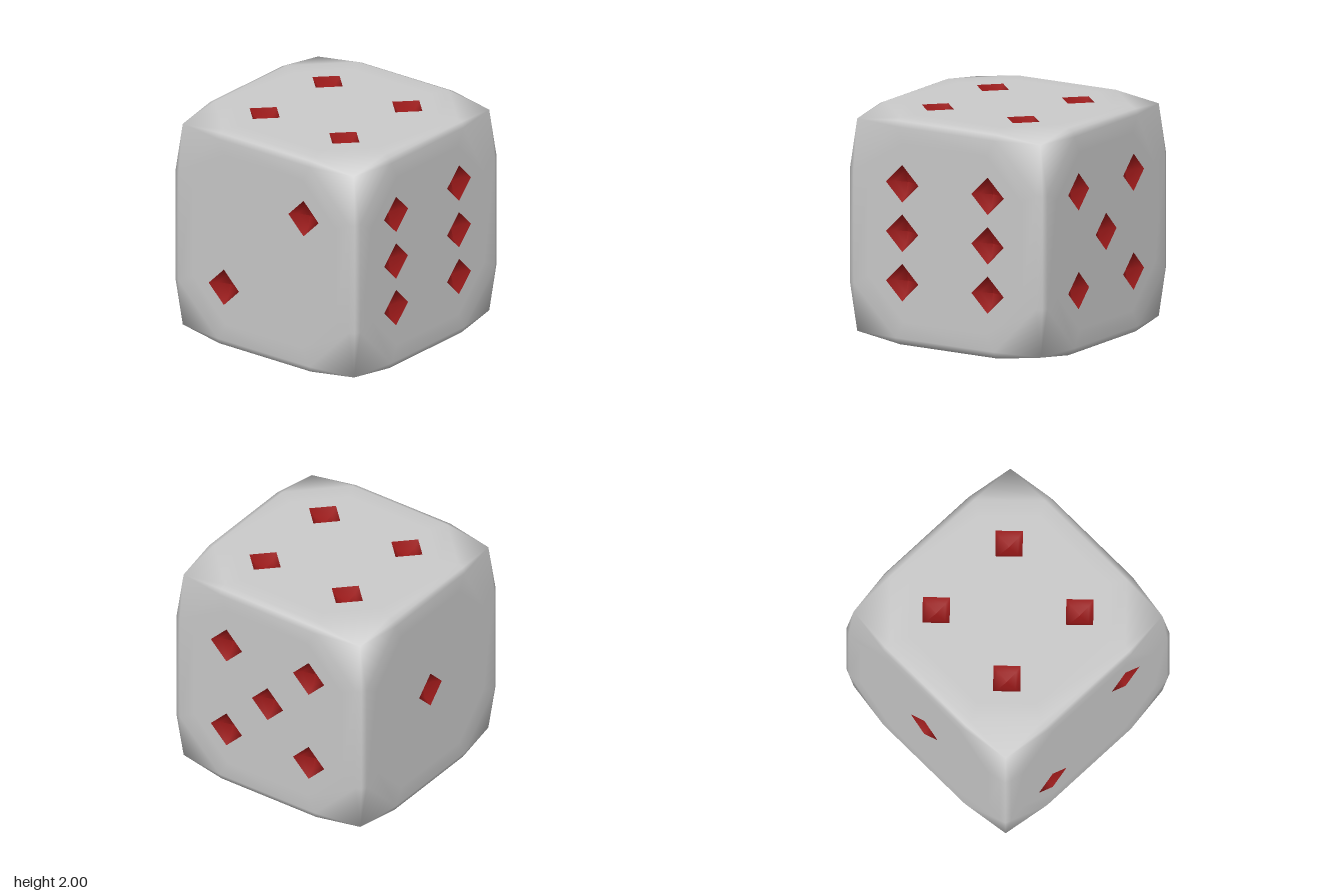
import * as THREE from 'three';
import { mergeGeometries, mergeVertices } from 'three/addons/utils/BufferGeometryUtils.js';

const P = 0.435; // pip offset from the face centre
const R = 0.165; // pip half diagonal

// Eight points of a square with cut corners, counter-clockwise
function octagon(a, b, z) {
  return [[a, -b], [a, b], [b, a], [-b, a], [-a, b], [-a, -b], [-b, -a], [b, -a]]
    .map(([x, y]) => new THREE.Vector3(x, y, z));
}

// Rounded border of one face: flat band, bevelled edges and sunken corners
function borderGeometry() {
  const inner = octagon(0.78, 0.42, 1);
  const outer = octagon(0.93, 0.5, 1);
  const rim = octagon(0.98, 0.5, 0.98);
  const corners = [[1, 1], [-1, 1], [-1, -1], [1, -1]]
    .map(([x, y]) => new THREE.Vector3(x, y, 1).multiplyScalar(0.935));
  const points = [];
  for (let i = 0; i < 8; i++) {
    const j = (i + 1) % 8;
    points.push(inner[i], outer[i], outer[j], inner[i], outer[j], inner[j]);
    if (i % 2 === 0) {
      points.push(outer[i], rim[i], rim[j], outer[i], rim[j], outer[j]);
    } else {
      const c = corners[(i - 1) / 2];
      points.push(outer[i], rim[i], c, outer[i], c, outer[j], c, rim[j], outer[j]);
    }
  }
  return new THREE.BufferGeometry().setFromPoints(points);
}

// Flat middle of a face with a diamond hole for each pip
function panelGeometry(pips) {
  const shape = new THREE.Shape(octagon(0.78, 0.42, 0).map((p) => new THREE.Vector2(p.x, p.y)));
  for (const [x, y] of pips) {
    shape.holes.push(new THREE.Path([[R, 0], [0, -R], [-R, 0], [0, R]]
      .map(([u, v]) => new THREE.Vector2(x + u, y + v))));
  }
  return new THREE.ShapeGeometry(shape).translate(0, 0, 1);
}

export function createModel() {
  const model = new THREE.Group();
  model.name = 'die';
  const grey = new THREE.MeshStandardMaterial({ color: 0xcccccc });
  const red = new THREE.MeshStandardMaterial({ color: 0x991919, side: THREE.DoubleSide });

  // Four-sided bowl sunk into the face
  const pipGeometry = new THREE.LatheGeometry(
    [[R, 0], [0.11, -0.06], [0, -0.09]].map(([x, y]) => new THREE.Vector2(x, y)), 4)
    .rotateX(Math.PI / 2);

  // Pip patterns
  const one = [[0, 0]];
  const two = [[-P, -P], [P, P]];
  const four = [...two, [-P, P], [P, -P]];
  const six = [...four, [-P, 0], [P, 0]];
  const q = Math.PI / 2;
  const faces = [
    ['front', 0, 0, two],
    ['right', 0, q, six],
    ['back', 0, 2 * q, [...four, ...one]],
    ['left', 0, -q, one],
    ['top', -q, 0, four],
    ['bottom', q, 0, [...two, ...one]],
  ];

  const borders = [];
  for (const [name, rx, ry, pips] of faces) {
    const face = new THREE.Group();
    face.name = name + 'Face';
    face.rotation.set(rx, ry, 0);
    face.position.y = 1;

    const panel = new THREE.Mesh(panelGeometry(pips), grey);
    panel.name = name + 'Panel';
    face.add(panel);
    for (const [x, y] of pips) {
      const pip = new THREE.Mesh(pipGeometry, red);
      pip.name = 'pip';
      pip.position.set(x, y, 1);
      face.add(pip);
    }
    model.add(face);
    borders.push(borderGeometry().rotateX(rx).rotateY(ry));
  }

  // Joined borders, smooth across the edges of the cube
  const shell = mergeVertices(mergeGeometries(borders), 1e-3);
  shell.computeVertexNormals();
  const body = new THREE.Mesh(shell, grey);
  body.name = 'roundedEdges';
  body.position.y = 1;
  model.add(body);
  return model;
}
